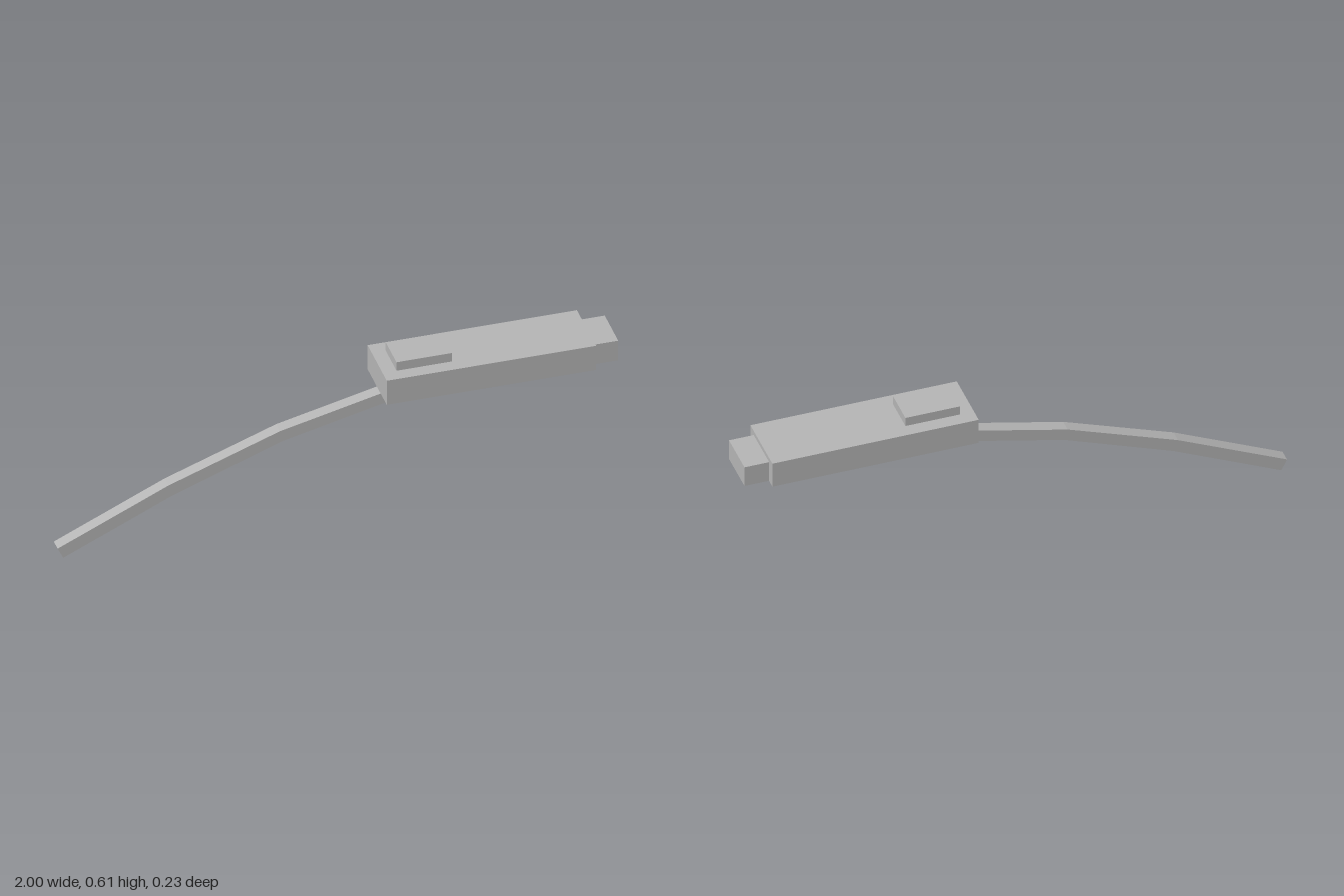
import * as THREE from 'three';

export function createModel() {
  const group = new THREE.Group();
  const grey = new THREE.MeshStandardMaterial({ color: 0xb4b4b4 });
  grey.name = 'plain grey';

  const add = (name, geometry) => {
    const mesh = new THREE.Mesh(geometry, grey);
    mesh.name = name;
    group.add(mesh);
    return mesh;
  };

  // Box given by its x and y limits and its depth, centred on z = 0
  const addBox = (name, x0, x1, y0, y1, depth) =>
    add(name, new THREE.BoxGeometry(x1 - x0, y1 - y0, depth))
      .position.set((x0 + x1) / 2, (y0 + y1) / 2, 0);

  addBox('body', 0.157, 0.91, 0.475, 0.575, 0.23);
  addBox('endPlug', 0.91, 1, 0.476, 0.557, 0.162);
  addBox('topButton', 0.207, 0.407, 0.575, 0.61, 0.13);

  // Bent strip: lower edge out to the right, upper edge back to the left
  const outline = [
    [-0.98, 0], [-0.585, 0.184], [-0.188, 0.333], [0.168, 0.418], [0.467, 0.461],
    [0.461, 0.505], [0.16, 0.461], [-0.2, 0.375], [-0.602, 0.227], [-1, 0.042],
  ].map(([x, y]) => new THREE.Vector2(x, y));
  const width = 0.046;
  const strip = new THREE.ExtrudeGeometry(new THREE.Shape(outline), { depth: width, bevelEnabled: false });
  strip.translate(0, 0, -width / 2);
  add('curvedArm', strip);

  return group;
}
